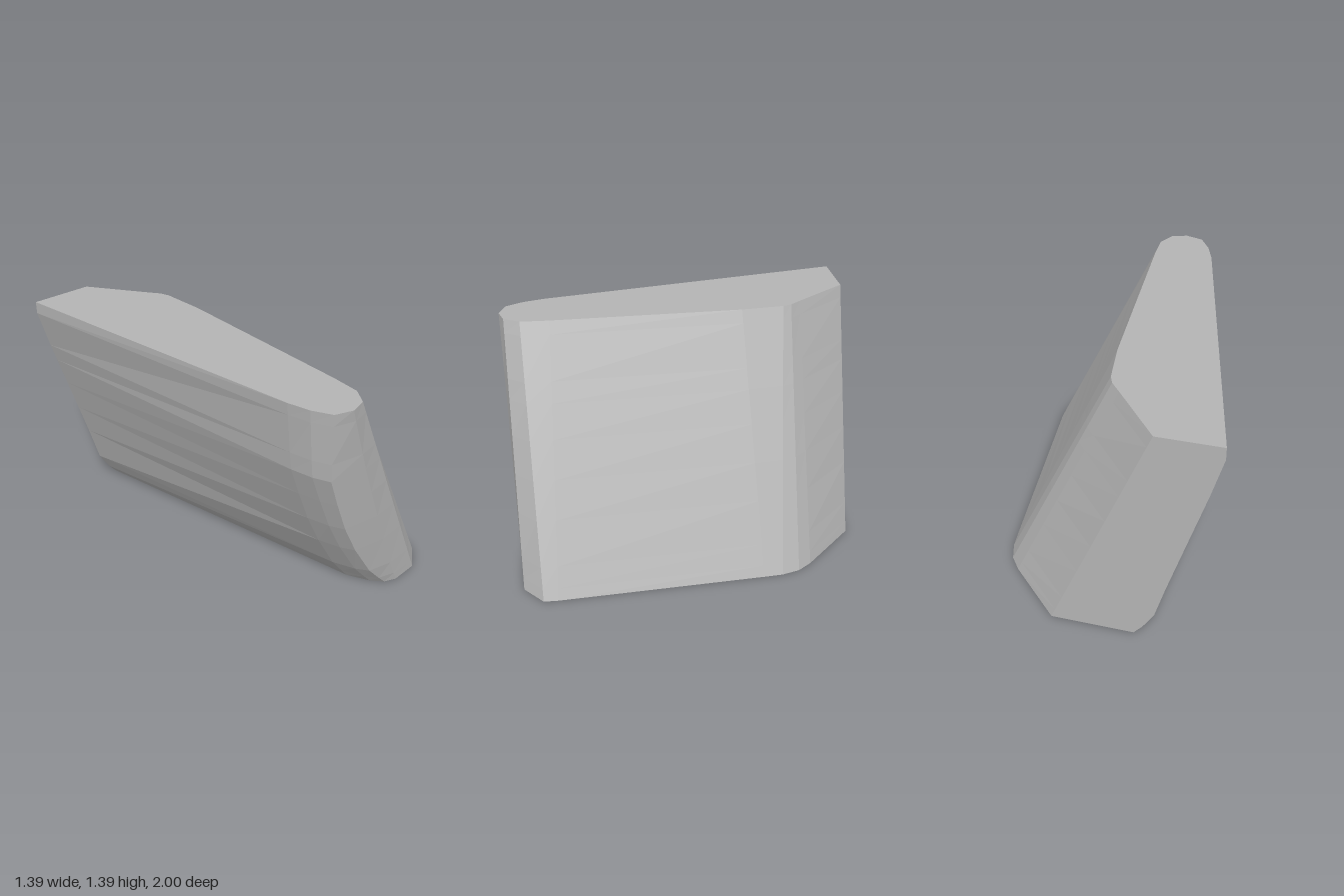
import * as THREE from 'three';

const HEIGHT = 1.39;

// Outline corners, going round from the back: [top x, top z, bottom x, bottom z, back bulge, nose bulge]
const OUTLINE = [
  [-0.70, -1.00, -0.27, -1.00, 1, 0],
  [-0.36, -1.00, 0.20, -1.00, 0, 0],
  [-0.12, -0.70, 0.50, -0.71, 0, 0],
  [-0.07, -0.64, 0.56, -0.63, 0, 0],
  [-0.05, -0.59, 0.59, -0.53, 0, 0],
  [-0.02, -0.35, 0.60, -0.42, 0, 0],
  [0.03, 0.72, 0.69, 0.75, 0, 0],
  [0.03, 0.88, 0.69, 0.83, 0, 0],
  [-0.02, 0.97, 0.57, 0.94, 0, 0],
  [-0.11, 1.00, 0.41, 0.955, 0, 0.12],
  [-0.21, 0.97, 0.34, 0.93, 0, 1],
  [-0.27, 0.87, 0.28, 0.87, 0, 0.9],
  [-0.31, 0.75, 0.21, 0.75, 0, 0.8],
];

// Level heights with the outward bulge of the curved side: [y, at the back, at the nose]
const LEVELS = [
  [0, 0, 0], [0.06, 0.03, 0.03], [0.17, 0.06, 0.08], [0.4, 0.05, 0.13],
  [0.6, 0.045, 0.15], [0.8, 0.04, 0.148], [0.98, 0.036, 0.14],
  [1.09, 0.033, 0.105], [1.32, 0.022, 0.025], [HEIGHT, 0, 0],
];

function slantedBody() {
  const n = OUTLINE.length;
  const positions = [];
  const index = [];
  for (const [y, back, nose] of LEVELS) {
    const t = y / HEIGHT;
    for (const [tx, tz, bx, bz, wBack, wNose] of OUTLINE) {
      const x = THREE.MathUtils.lerp(bx, tx, t) - back * wBack - nose * wNose;
      positions.push(x, y, THREE.MathUtils.lerp(bz, tz, t));
    }
  }
  // Walls between neighbouring levels
  for (let l = 0; l < LEVELS.length - 1; l++) {
    for (let k = 0; k < n; k++) {
      const a = l * n + k, b = l * n + (k + 1) % n;
      index.push(a, a + n, b, b, a + n, b + n);
    }
  }
  // Flat bottom and top
  const top = (LEVELS.length - 1) * n;
  for (let k = 1; k < n - 1; k++) {
    index.push(0, k, k + 1);
    index.push(top, top + k + 1, top + k);
  }
  const geometry = new THREE.BufferGeometry();
  geometry.setAttribute('position', new THREE.Float32BufferAttribute(positions, 3));
  geometry.setIndex(index);
  const flat = geometry.toNonIndexed();
  flat.computeVertexNormals();
  return flat;
}

export function createModel() {
  const group = new THREE.Group();
  const grey = new THREE.MeshStandardMaterial({ color: 0xb4b4b4, flatShading: true });
  grey.name = 'grey';
  const body = new THREE.Mesh(slantedBody(), grey);
  body.name = 'slantedBody';
  group.add(body);
  return group;
}
